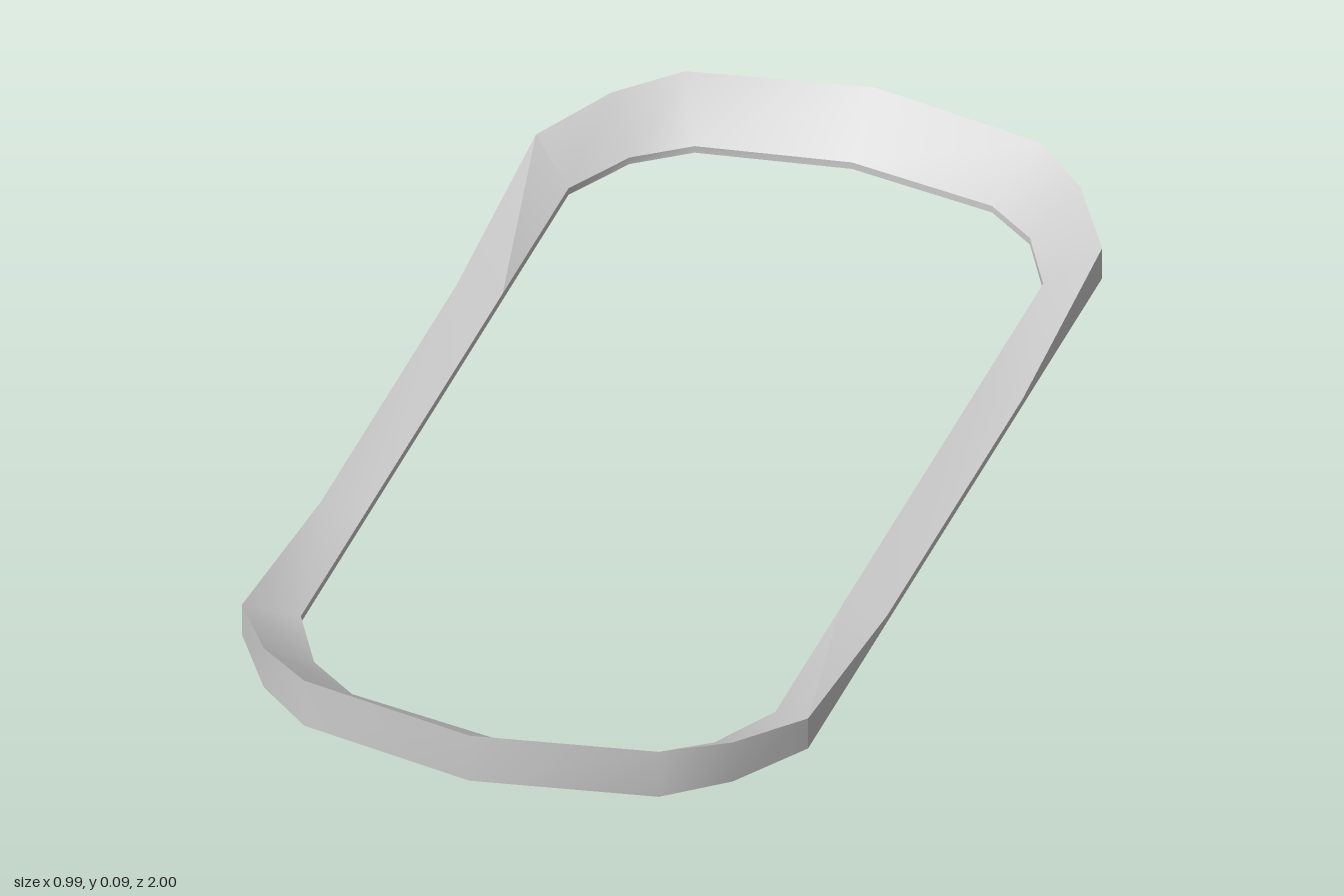
import * as THREE from 'three';
import { toCreasedNormals } from 'three/addons/utils/BufferGeometryUtils.js';

const INNER_HEIGHT = 0.013;

// One quarter of the track: outer x, outer z, outer height, inner x, inner z
const QUARTER = [
  [0, 1, 0.09, 0, 0.887],
  [0.31, 0.94, 0.09, 0.26, 0.845],
  [0.41, 0.857, 0.078, 0.35, 0.778],
  [0.495, 0.725, 0.06, 0.415, 0.66],
  [0.495, 0.335, INNER_HEIGHT, 0.415, 0.335],
];

// Mirror the quarter front to back, then side to side, into a closed loop
function stations() {
  const flipZ = ([ox, oz, h, ix, iz]) => [ox, -oz, h, ix, -iz];
  const flipX = ([ox, oz, h, ix, iz]) => [-ox, oz, h, -ix, iz];
  const half = [...QUARTER, ...[...QUARTER].reverse().map(flipZ)];
  return [...half, ...half.slice(1, -1).reverse().map(flipX)];
}

// Sweep a four-cornered banked section around the loop
function trackGeometry() {
  const loop = stations();
  const positions = [];
  const index = [];
  for (const [ox, oz, h, ix, iz] of loop) {
    positions.push(ox, 0, oz, ox, h, oz, ix, INNER_HEIGHT, iz, ix, 0, iz);
  }
  loop.forEach((_, i) => {
    const here = i * 4;
    const next = ((i + 1) % loop.length) * 4;
    for (let s = 0; s < 4; s++) {
      const t = (s + 1) % 4;
      index.push(here + s, next + s, next + t, here + s, next + t, here + t);
    }
  });
  const geometry = new THREE.BufferGeometry();
  geometry.setAttribute('position', new THREE.Float32BufferAttribute(positions, 3));
  geometry.setIndex(index);
  return toCreasedNormals(geometry, Math.PI / 6);
}

export function createModel() {
  const group = new THREE.Group();
  group.name = 'bankedOvalTrack';
  const track = new THREE.Mesh(
    trackGeometry(),
    new THREE.MeshStandardMaterial({ color: 0xcccccc })
  );
  track.name = 'track';
  group.add(track);
  return group;
}
